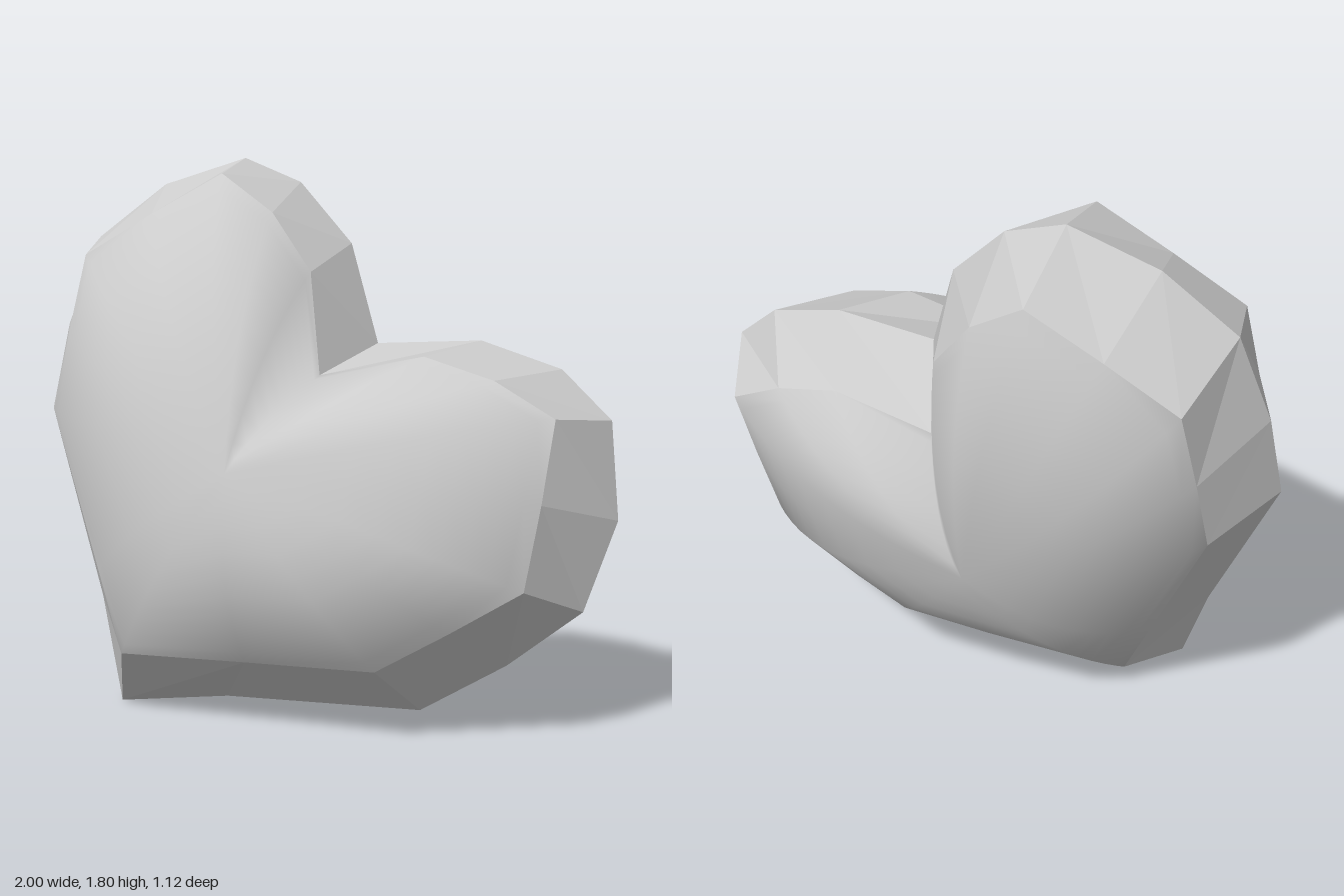
import * as THREE from 'three';

// Heart outline, counter-clockwise from the tip:
// widest rim x, y, then inset bevel edge x, y, then how boxy the dome is towards that point
const OUTLINE = [
  [-0.63, 0.0, -0.53, 0.154, 2.1], [-0.25, 0.05, -0.1, 0.165, 2.8], [0.41, 0.07, 0.33, 0.174, 3.2],
  [0.68, 0.23, 0.555, 0.305, 3.2], [0.91, 0.41, 0.78, 0.444, 3], [1.0, 0.69, 0.815, 0.7, 2.9],
  [0.96, 0.99, 0.84, 0.954, 2.7], [0.79, 1.14, 0.64, 1.06, 2.5], [0.52, 1.22, 0.41, 1.124, 2.3],
  [0.17, 1.2, 0.07, 1.054, 1.7], [0.05, 1.52, 0.01, 1.374, 2.3], [-0.15, 1.72, -0.14, 1.56, 2.5],
  [-0.36, 1.8, -0.33, 1.684, 2.6], [-0.65, 1.71, -0.57, 1.552, 2.8], [-0.88, 1.53, -0.8, 1.414, 3],
  [-0.97, 1.23, -0.835, 1.15, 3], [-1.0, 0.94, -0.86, 0.904, 2.9], [-0.74, 0.33, -0.64, 0.404, 2.6],
];
const N = OUTLINE.length;
const CENTRE = [-0.12, 0.71];
const BEVEL = 0.25; // half thickness at the bevel edge
const BULGE = 0.25; // extra height of the dome
const NORMAL = new THREE.Vector3(-0.041, 0.275, 1).normalize();

// Point on the leaning middle plane, lifted by h along its normal
function place(x, y, h) {
  return new THREE.Vector3(x, y, 0.229 - 0.275 * y + 0.041 * x).addScaledVector(NORMAL, h);
}

// Smooth puffed face built from shrinking rings; side is 1 for front, -1 for back
function domeGeometry(side) {
  const scales = [1, 0.95, 0.89, 0.82, 0.74, 0.65, 0.54, 0.42, 0.28, 0.14];
  const pos = [], index = [];
  const tri = (a, b, c) => (side > 0 ? index.push(a, b, c) : index.push(a, c, b));
  for (const s of scales) {
    for (const [, , x, y, power] of OUTLINE) {
      const h = side * (BEVEL + BULGE * (1 - s ** power));
      const p = place(CENTRE[0] + s * (x - CENTRE[0]), CENTRE[1] + s * (y - CENTRE[1]), h);
      pos.push(p.x, p.y, p.z);
    }
  }
  const c = place(CENTRE[0], CENTRE[1], side * (BEVEL + BULGE));
  pos.push(c.x, c.y, c.z);
  const last = (scales.length - 1) * N;
  for (let i = 0; i < N; i++) {
    const j = (i + 1) % N;
    for (let r = 0; r < last; r += N) {
      tri(r + i, r + j, r + N + j);
      tri(r + i, r + N + j, r + N + i);
    }
    tri(last + i, last + j, last + N);
  }
  const geo = new THREE.BufferGeometry();
  geo.setAttribute('position', new THREE.Float32BufferAttribute(pos, 3));
  geo.setIndex(index);
  geo.computeVertexNormals();
  return geo;
}

// Faceted band from the widest rim to the bevel edge
function bevelGeometry(side) {
  const pos = [];
  const tri = (a, b, c) => {
    for (const p of side > 0 ? [a, b, c] : [a, c, b]) pos.push(p.x, p.y, p.z);
  };
  for (let i = 0; i < N; i++) {
    const a = OUTLINE[i], b = OUTLINE[(i + 1) % N];
    const rimA = place(a[0], a[1], 0), rimB = place(b[0], b[1], 0);
    const edgeA = place(a[2], a[3], side * BEVEL), edgeB = place(b[2], b[3], side * BEVEL);
    tri(rimA, rimB, edgeB);
    tri(rimA, edgeB, edgeA);
  }
  const geo = new THREE.BufferGeometry();
  geo.setAttribute('position', new THREE.Float32BufferAttribute(pos, 3));
  geo.computeVertexNormals();
  return geo;
}

export function createModel() {
  const group = new THREE.Group();
  group.name = 'heart';
  const smooth = new THREE.MeshStandardMaterial({ color: 0xcccccc });
  const faceted = new THREE.MeshStandardMaterial({ color: 0xcccccc, flatShading: true });
  const add = (name, geo, mat) => {
    const mesh = new THREE.Mesh(geo, mat);
    mesh.name = name;
    group.add(mesh);
  };
  for (const [label, side] of [['front', 1], ['back', -1]]) {
    add(label + 'Dome', domeGeometry(side), smooth);
    add(label + 'Bevel', bevelGeometry(side), faceted);
  }
  return group;
}
